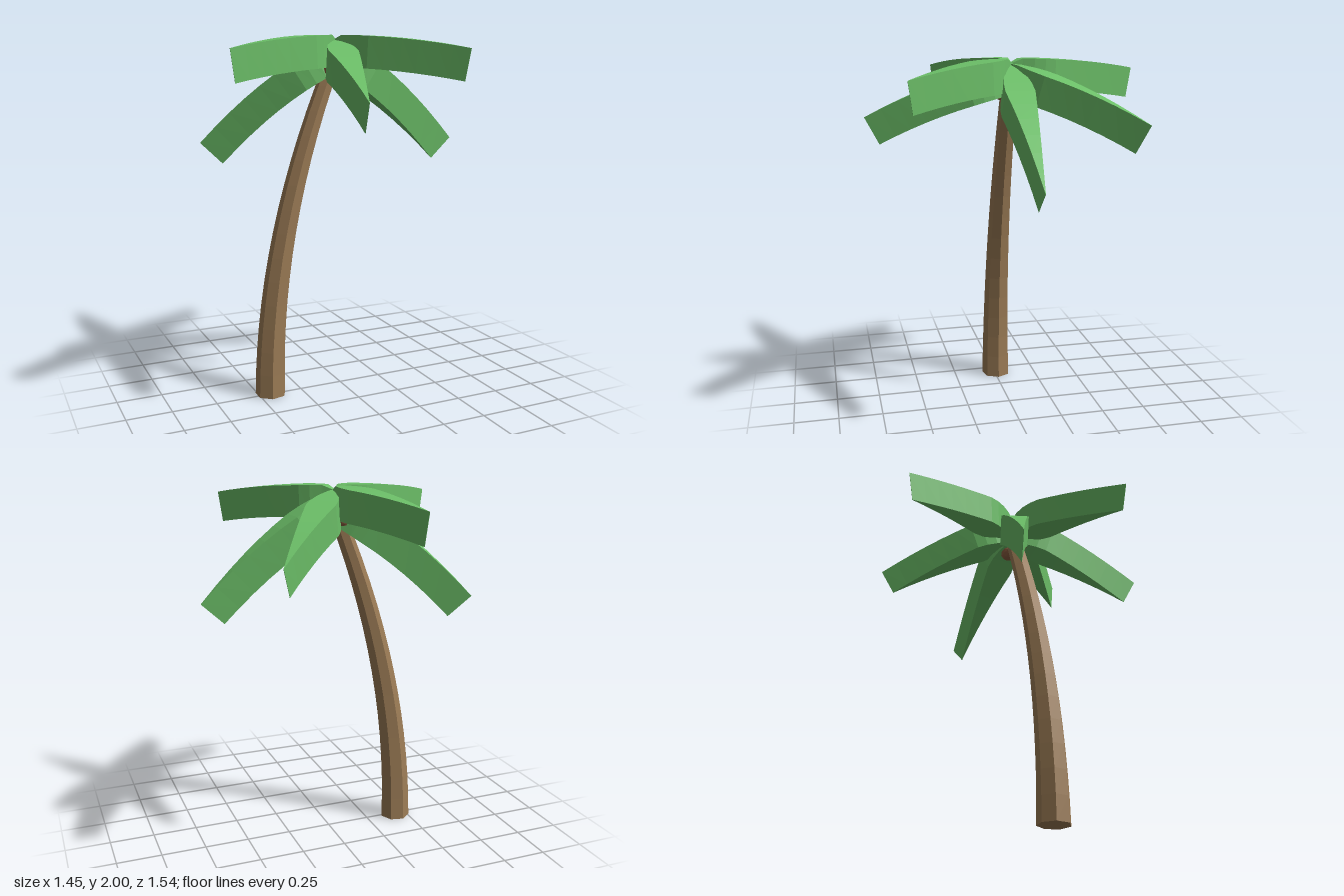
import * as THREE from 'three';

const bark = new THREE.MeshStandardMaterial({ color: 0x9c7c56 });
bark.name = 'bark';
const leaf = new THREE.MeshStandardMaterial({ color: 0x6cbf68 });
leaf.name = 'leaf';
const husk = new THREE.MeshStandardMaterial({ color: 0x8f6042 });
husk.name = 'husk';

// Separate faces so every facet is flat
function faceted(geometry) {
  const g = geometry.index ? geometry.toNonIndexed() : geometry;
  g.computeVertexNormals();
  return g;
}

// Seven-sided tapering trunk, bent sideways along a parabola
function makeTrunk() {
  const height = 1.86;
  const g = new THREE.CylinderGeometry(0.047, 0.087, height, 7, 14, false, Math.PI / 2);
  g.translate(0, height / 2, 0);
  const p = g.attributes.position;
  for (let i = 0; i < p.count; i++) {
    const y = p.getY(i);
    p.setX(i, p.getX(i) - 0.43 + 0.114 * y * y);
  }
  const trunk = new THREE.Mesh(faceted(g), bark);
  trunk.name = 'trunk';
  return trunk;
}

// Thick pointed leaf along +x, drooping as y = top - slope*r - bend*r*r
function makeFrond({ length, top, slope, bend }) {
  const depth = 0.17;
  const stations = [[0, 0.012], [0.06, 0.034], [0.12, 0.06], [0.18, 0.075], [0.24, 0.08]];
  for (let k = 1; k <= 6; k++) {
    const t = k / 6;
    stations.push([0.24 + (length - 0.24) * t, Math.max(0.08 * (1 - t), 0.0008)]);
  }
  const points = [];
  const index = [];
  stations.forEach(([r, w], i) => {
    const y = i === 0 ? 1.975 : top - slope * r - bend * r * r;
    const a = Math.atan(slope + 2 * bend * r);
    const x2 = r - depth * Math.sin(a);
    const y2 = y - depth * Math.cos(a);
    points.push(r, y, -w, r, y, w, x2, y2, w, x2, y2, -w);
    if (i === 0) return;
    for (let k = 0; k < 4; k++) {
      const n = (k + 1) % 4;
      const a0 = (i - 1) * 4 + k, b0 = (i - 1) * 4 + n;
      const a1 = i * 4 + k, b1 = i * 4 + n;
      index.push(a0, b0, b1, a0, b1, a1);
    }
  });
  // Base and tip caps
  const e = (stations.length - 1) * 4;
  index.push(0, 3, 2, 0, 2, 1, e, e + 1, e + 2, e, e + 2, e + 3);
  const g = new THREE.BufferGeometry();
  g.setAttribute('position', new THREE.Float32BufferAttribute(points, 3));
  g.setIndex(index);
  return new THREE.Mesh(faceted(g), leaf);
}

export function createModel() {
  const palm = new THREE.Group();
  palm.name = 'palmTree';
  const tree = new THREE.Group();
  tree.name = 'tree';
  tree.position.z = -0.01;
  palm.add(tree);
  tree.add(makeTrunk());

  // Crown of seven fronds in three droops
  const low = { length: 0.75, top: 1.98, slope: 0.45, bend: 0.413 };
  const middle = { length: 0.8, top: 1.98, slope: 0.21, bend: 0.2 };
  const high = { length: 0.777, top: 2.0, slope: 0, bend: 0.116 };
  const crown = new THREE.Group();
  crown.name = 'crown';
  crown.position.x = -0.03;
  [low, middle, high, low, high, middle, high].forEach((kind, i) => {
    const frond = makeFrond(kind);
    frond.name = 'frond' + (i + 1);
    frond.rotation.y = (i * Math.PI * 2) / 7;
    crown.add(frond);
  });
  tree.add(crown);

  // Coconuts tucked under the crown
  [[0.012, 1.77, 0], [-0.065, 1.82, -0.05], [-0.065, 1.82, 0.05]].forEach(([x, y, z], i) => {
    const nut = new THREE.Mesh(faceted(new THREE.IcosahedronGeometry(0.045, 1)), husk);
    nut.name = 'coconut' + (i + 1);
    nut.position.set(x, y, z);
    tree.add(nut);
  });
  return palm;
}
